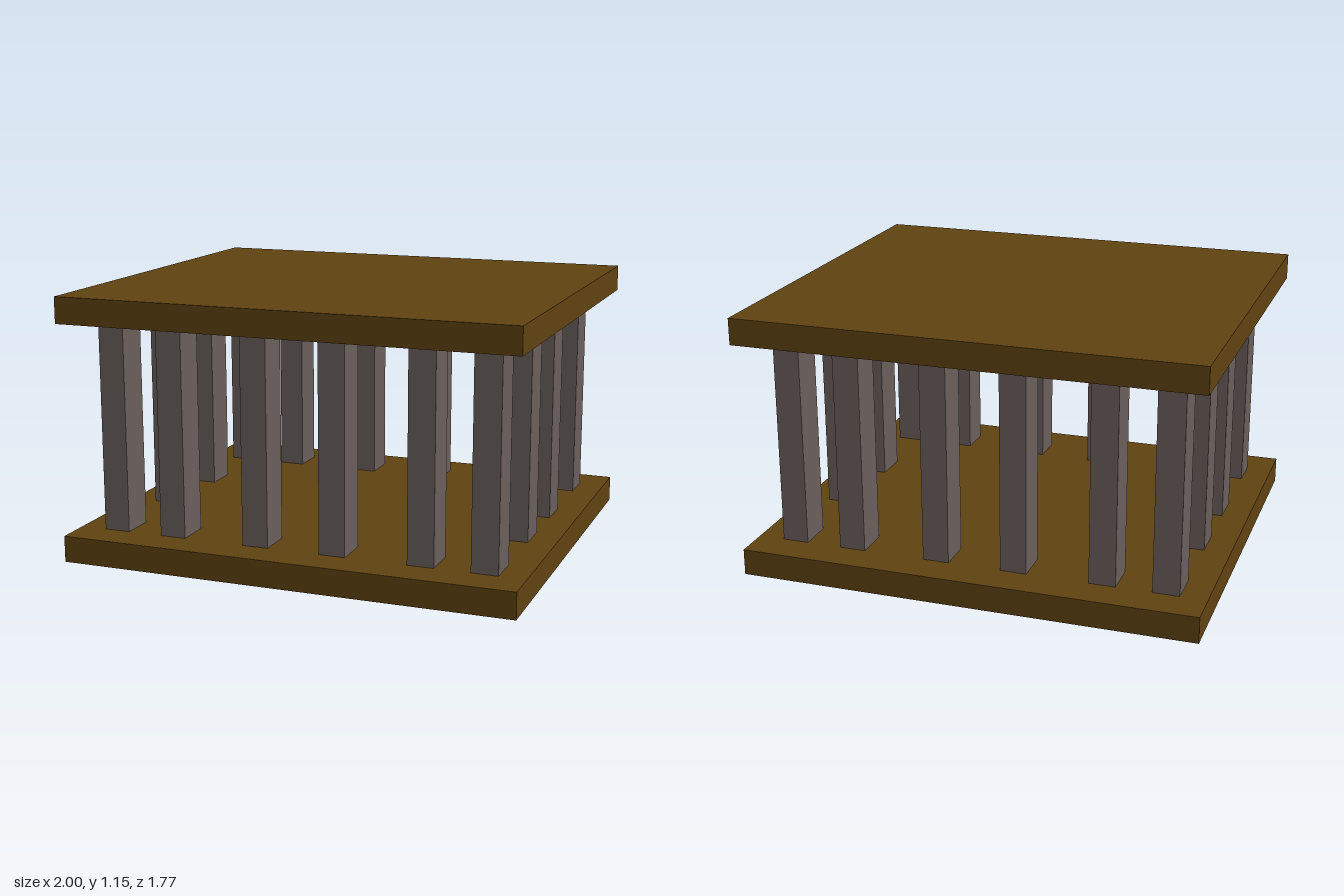
import * as THREE from 'three';

const U = 1 / 26; // module unit: the slabs are 52 x 3 x 46 units

// Box without its underside, standing on its local origin
function openBox(w, h, d) {
  const geo = new THREE.BoxGeometry(w * U, h * U, d * U).translate(0, h * U / 2, 0);
  const index = Array.from(geo.index.array);
  index.splice(18, 6); // drop the -y face
  geo.setIndex(index);
  geo.clearGroups();
  return geo;
}

export function createModel() {
  const model = new THREE.Group();
  model.name = 'pillaredPlatform';
  const wood = new THREE.MeshStandardMaterial({ color: 0x5f4211, side: THREE.DoubleSide });
  const stone = new THREE.MeshStandardMaterial({ color: 0x6a5f5d, side: THREE.DoubleSide });

  const add = (name, geo, mat, x, y, z) => {
    const mesh = new THREE.Mesh(geo, mat);
    mesh.name = name;
    mesh.position.set(x * U, y * U, z * U);
    model.add(mesh);
  };

  // Floor and roof: shallow slabs, hollow from below
  const slab = openBox(52, 3, 46);
  add('floorSlab', slab, wood, 0, 0, 0);
  add('roofSlab', slab, wood, 0, 27, 0);

  // Ring of pillars around the edge, mirrored in x and z
  const pillar = openBox(3, 24, 4);
  for (const sx of [-1, 1]) {
    for (const sz of [-1, 1]) {
      for (const x of [4.5, 14.5, 21.5]) add('pillar', pillar, stone, sx * x, 3, sz * 17);
      add('sidePillar', pillar, stone, sx * 21.5, 3, sz * 5);
    }
  }
  return model;
}
